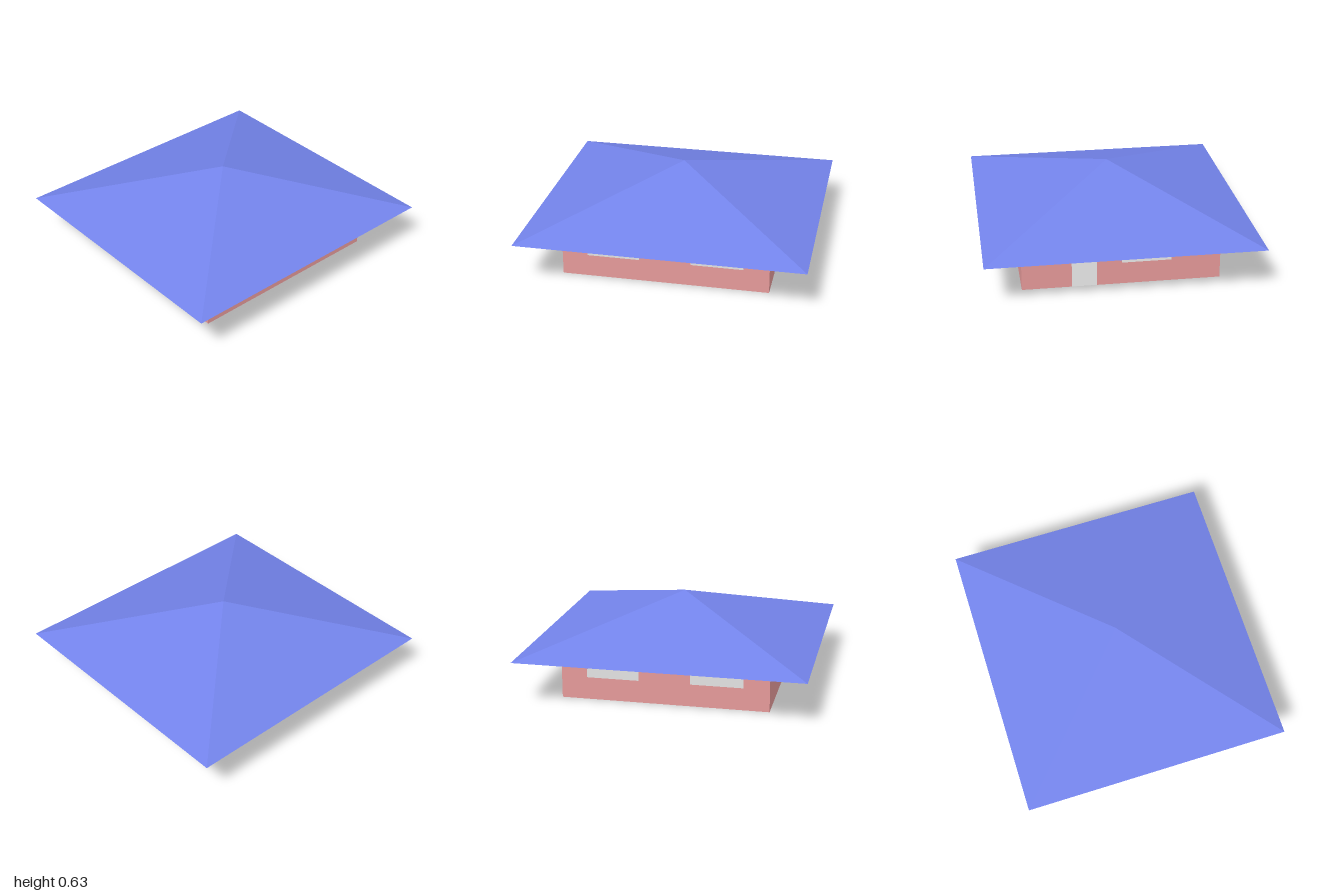
import * as THREE from 'three';

const WALL_X = 0.685, WALL_Z = 0.725, WALL_H = 0.315;
const ROOF_X = 0.945, ROOF_Z = 1, ROOF_H = 0.315;
const SILL = 0.157, HEAD = 0.24, DOOR_H = 0.195;

const material = (color) =>
  new THREE.MeshStandardMaterial({ color, flatShading: true, side: THREE.DoubleSide });

function rectangle(Type, x0, x1, y0, y1) {
  const r = new Type();
  r.moveTo(x0, y0);
  r.lineTo(x1, y0);
  r.lineTo(x1, y1);
  r.lineTo(x0, y1);
  r.closePath();
  return r;
}

// Thin wall with window openings and an optional door notch, facing +z
function wallGeometry(half, windows, door) {
  const s = new THREE.Shape();
  s.moveTo(-half, 0);
  if (door) {
    s.lineTo(door[0], 0);
    s.lineTo(door[0], DOOR_H);
    s.lineTo(door[1], DOOR_H);
    s.lineTo(door[1], 0);
  }
  s.lineTo(half, 0);
  s.lineTo(half, WALL_H);
  s.lineTo(-half, WALL_H);
  s.closePath();
  for (const [a, b] of windows) s.holes.push(rectangle(THREE.Path, a, b, SILL, HEAD));
  return new THREE.ShapeGeometry(s);
}

export function createModel() {
  const house = new THREE.Group();
  house.name = 'house';
  const pink = material(0xe69a9a), blue = material(0x7383ea), grey = material(0xcccccc);

  const add = (name, geometry, mat) => {
    const mesh = new THREE.Mesh(geometry, mat);
    mesh.name = name;
    house.add(mesh);
    return mesh;
  };

  // Four walls: name, half width, distance from centre, turn, windows, door
  const sideWindows = [[-0.545, -0.18], [0.18, 0.545]];
  const walls = [
    ['frontWall', WALL_X, WALL_Z, 0, [[-0.512, -0.17], [0.17, 0.512]], null],
    ['backWall', WALL_X, WALL_Z, Math.PI, [[0, 0.343]], [-0.343, -0.17]],
    ['leftWall', WALL_Z, WALL_X, Math.PI / 2, sideWindows, null],
    ['rightWall', WALL_Z, WALL_X, -Math.PI / 2, sideWindows, null],
  ];
  for (const [name, half, distance, turn, windows, door] of walls) {
    const geometry = wallGeometry(half, windows, door);
    geometry.translate(0, 0, distance).rotateY(turn);
    add(name, geometry, pink);
  }

  // Floor
  add('floor', new THREE.PlaneGeometry(WALL_X * 2, WALL_Z * 2).rotateX(Math.PI / 2), grey);

  // Flat underside of the overhanging eaves, open above the room
  const eaves = rectangle(THREE.Shape, -ROOF_X, ROOF_X, -ROOF_Z, ROOF_Z);
  eaves.holes.push(rectangle(THREE.Path, -WALL_X, WALL_X, -WALL_Z, WALL_Z));
  const eavesGeometry = new THREE.ShapeGeometry(eaves).rotateX(Math.PI / 2);
  add('eaves', eavesGeometry.translate(0, WALL_H, 0), grey);

  // Pyramid roof
  const roof = new THREE.ConeGeometry(Math.SQRT2, ROOF_H, 4, 1, true).rotateY(Math.PI / 4);
  roof.scale(ROOF_X, 1, ROOF_Z).translate(0, WALL_H + ROOF_H / 2, 0);
  add('roof', roof, blue);

  return house;
}
